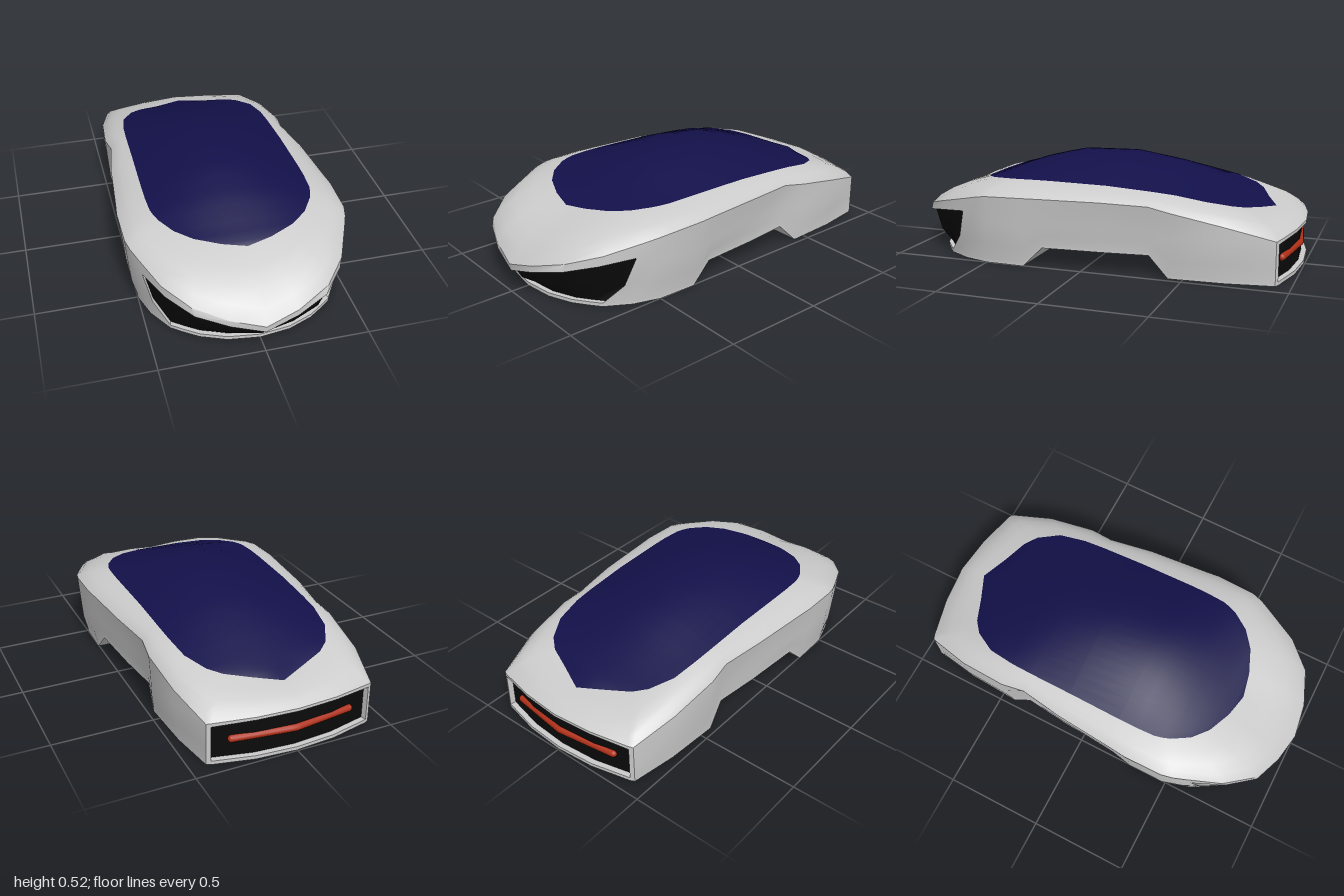
import * as THREE from 'three';
import { toCreasedNormals } from 'three/addons/utils/BufferGeometryUtils.js';

const paint = new THREE.MeshStandardMaterial({ color: 0xcccccc, side: THREE.DoubleSide });
const glass = new THREE.MeshStandardMaterial({ color: 0x13104a });
const black = new THREE.MeshStandardMaterial({ color: 0x0a0a0a, side: THREE.DoubleSide });
const red = new THREE.MeshStandardMaterial({ color: 0xb03018 });

const V = (x, y, z) => new THREE.Vector3(x, y, z);
const rail = (pts) => pts.map((p) => V(...p));

// Guide rails of the left half, from the nose centre round to the tail centre
const sill = rail([
  [0, 0, 0.91], [0.15, 0, 0.89], [0.27, 0, 0.84], [0.34, 0, 0.79], [0.39, 0, 0.75], [0.46, 0, 0.63],
  [0.5, 0, 0.5], [0.505, 0, 0.3], [0.5, 0.1, 0.2], [0.48, 0.1, -0.1], [0.455, 0.1, -0.33],
  [0.47, 0, -0.43], [0.455, 0, -0.7], [0.42, 0, -0.925], [0.4, 0, -0.935], [0.2, 0, -0.98], [0, 0, -0.995],
]);
const waist = rail([
  [0, 0.11, 0.995], [0.16, 0.157, 0.972], [0.31, 0.2, 0.915], [0.42, 0.23, 0.785], [0.492, 0.25, 0.63],
  [0.515, 0.24, 0.56], [0.535, 0.22, 0.48], [0.53, 0.2, 0.3], [0.52, 0.22, 0.2], [0.49, 0.22, -0.1],
  [0.46, 0.22, -0.33], [0.488, 0.2, -0.45], [0.475, 0.2, -0.7], [0.42, 0.19, -0.925],
  [0.4, 0.195, -0.935], [0.2, 0.205, -0.98], [0, 0.21, -1],
]);
const shoulder = rail([
  [0, 0.145, 1], [0.16, 0.19, 0.972], [0.32, 0.24, 0.9], [0.43, 0.28, 0.77], [0.505, 0.32, 0.6],
  [0.53, 0.335, 0.54], [0.545, 0.345, 0.48], [0.548, 0.35, 0.28], [0.54, 0.35, 0.2], [0.515, 0.35, -0.1],
  [0.48, 0.34, -0.33], [0.495, 0.32, -0.45], [0.475, 0.27, -0.7], [0.42, 0.21, -0.925],
  [0.4, 0.213, -0.935], [0.2, 0.22, -0.98], [0, 0.225, -1],
]);
const canopyEdge = rail([
  [0, 0.355, 0.675], [0.12, 0.37, 0.65], [0.24, 0.385, 0.6], [0.32, 0.397, 0.535], [0.375, 0.408, 0.45],
  [0.39, 0.411, 0.41], [0.4, 0.413, 0.37], [0.405, 0.415, 0.27], [0.405, 0.415, 0.18], [0.4, 0.41, -0.1],
  [0.395, 0.395, -0.33], [0.39, 0.385, -0.44], [0.37, 0.36, -0.58], [0.31, 0.335, -0.69],
  [0.25, 0.32, -0.74], [0.13, 0.3, -0.79], [0, 0.285, -0.85],
]);
const LAST = sill.length - 1;
const LOOP = 2 * LAST;

// Rows in between: lip above the sill, a bulging flank, and a rounded upper skin
const lip = sill.map((p) => V(p.x, p.y + 0.018, p.z));
const blend = (a, b, txz, ty) => V(
  THREE.MathUtils.lerp(a.x, b.x, txz), THREE.MathUtils.lerp(a.y, b.y, ty), THREE.MathUtils.lerp(a.z, b.z, txz));
const flank = lip.map((p, i) => blend(p, waist[i], 0.65, 0.4));
const upper = (t) => shoulder.map((p, i) => new THREE.QuadraticBezierCurve3(
  p, blend(p, canopyEdge[i], 0.25, 0.65), canopyEdge[i]).getPoint(t));

// Column k of a half row; columns past the tail centre are mirrored
function at(row, k) {
  const i = ((k % LOOP) + LOOP) % LOOP;
  if (i <= LAST) return row[i].clone();
  const p = row[LOOP - i];
  return V(-p.x, p.y, p.z);
}
const span = (row, from, to) => Array.from({ length: to - from + 1 }, (_, n) => at(row, from + n));

// Skin over rows of points, leaving out degenerate triangles and skipped cells
function skin(rows, skip = () => false) {
  const out = [];
  const tri = (a, b, c) => {
    const area = b.clone().sub(a).cross(c.clone().sub(a)).length();
    if (area > 1e-8) for (const p of [a, b, c]) out.push(p.x, p.y, p.z);
  };
  for (let r = 0; r < rows.length - 1; r++) {
    for (let c = 0; c < rows[r].length - 1; c++) {
      if (skip(r, c)) continue;
      tri(rows[r][c], rows[r][c + 1], rows[r + 1][c + 1]);
      tri(rows[r][c], rows[r + 1][c + 1], rows[r + 1][c]);
    }
  }
  const g = new THREE.BufferGeometry();
  g.setAttribute('position', new THREE.Float32BufferAttribute(out, 3));
  return toCreasedNormals(g, 0.6);
}

function add(group, name, geometry, material) {
  const mesh = new THREE.Mesh(geometry, material);
  mesh.name = name;
  group.add(mesh);
}

// Dark panel set back inside an opening of the shell, with a painted rim
function recess(group, name, from, to, dz) {
  const outer = [lip, flank, waist].map((row) => span(row, from, to));
  const inset = (p) => V(p.x * 0.985, p.y, p.z + dz);
  const border = [
    ...outer[0], outer[1].at(-1), ...[...outer[2]].reverse(), outer[1][0], outer[0][0],
  ];
  add(group, name + 'Panel', skin(outer.map((row) => row.map(inset))), black);
  add(group, name + 'Rim', skin([border, border.map(inset)]), paint);
}

// Roof height along the centre line
const ridge = [[-0.85, 0.285], [-0.75, 0.325], [-0.6, 0.385], [-0.4, 0.46], [-0.2, 0.51], [0, 0.527],
  [0.2, 0.51], [0.4, 0.457], [0.55, 0.405], [0.675, 0.355]];
function ridgeY(z) {
  const i = Math.max(1, ridge.findIndex((p) => p[0] >= z));
  const [a, b] = [ridge[i - 1], ridge[i]];
  return THREE.MathUtils.mapLinear(z, a[0], b[0], a[1], b[1]);
}

export function createModel() {
  const car = new THREE.Group();
  car.name = 'car';

  // Body shell, open at the grille and the tail
  const MOUTH = 4, TAIL = 14;
  const rows = [sill, lip, flank, waist, shoulder, upper(0.25), upper(0.5), upper(0.75), canopyEdge]
    .map((row) => span(row, -MOUTH, LOOP - MOUTH));
  const open = (r, c) => (r === 1 || r === 2)
    && (c < 2 * MOUTH || (c >= TAIL + MOUTH && c < LOOP - TAIL + MOUTH));
  add(car, 'bodyShell', skin(rows, open), paint);

  // Floor with its raised middle
  add(car, 'floor', skin([sill.map((p) => V(-p.x, p.y, p.z)), sill]), paint);

  // Canopy arching from its edge up to the ridge
  const steps = 8;
  const arch = Array.from({ length: steps + 1 }, (_, s) => canopyEdge.map((p) => {
    const top = Math.max(ridgeY(p.z), p.y);
    return V(p.x * (1 - s / steps), p.y + (top - p.y) * Math.sin((s / steps) * Math.PI / 2), p.z);
  }));
  add(car, 'canopy', skin(arch.map((row) => span(row, 0, LOOP))), glass);

  // Grille and tail recesses
  recess(car, 'grille', -MOUTH, MOUTH, -0.025);
  recess(car, 'tail', TAIL, LOOP - TAIL, 0.028);

  // Tail light bar with rounded ends
  const bar = new THREE.CurvePath();
  const knots = rail([[-0.3, 0.108, -0.932], [0, 0.108, -0.972], [0.3, 0.108, -0.932]]);
  bar.add(new THREE.LineCurve3(knots[0], knots[1]));
  bar.add(new THREE.LineCurve3(knots[1], knots[2]));
  add(car, 'tailLight', new THREE.TubeGeometry(bar, 24, 0.018, 12), red);
  for (const end of [knots[0], knots[2]]) {
    add(car, 'tailLightEnd', new THREE.SphereGeometry(0.018, 12, 8).translate(end.x, end.y, end.z), red);
  }
  return car;
}
